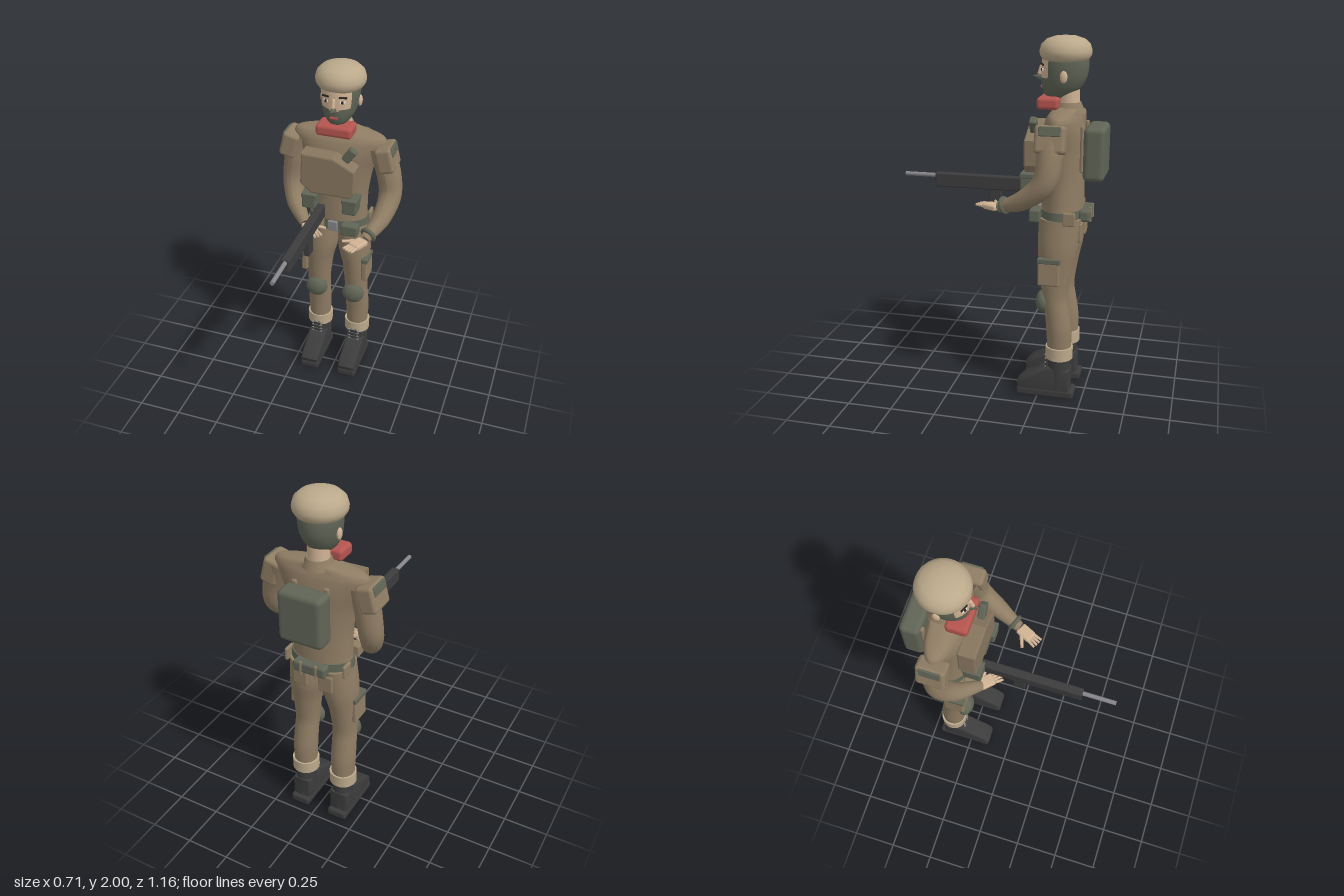
import * as THREE from 'three';
import { toCreasedNormals } from 'three/addons/utils/BufferGeometryUtils.js';
import { RoundedBoxGeometry } from 'three/addons/geometries/RoundedBoxGeometry.js';

const mat = (name, color) => Object.assign(new THREE.MeshStandardMaterial({ color }), { name });
const M = {
  cloth: mat('uniform brown', 0x8f7d64), tan: mat('beret tan', 0xbba98b),
  skin: mat('skin', 0xd0b394), green: mat('field green', 0x606556),
  black: mat('boot black', 0x3c3c3d), steel: mat('steel', 0x85858a),
  red: mat('scarf red', 0xb5554f), dark: mat('hair dark', 0x2b2724),
  pad: mat('plate brown', 0x87765f), white: mat('eye white', 0xe8e2d8),
};
const CX = -0.015; // body centre line

// Stacked elliptical rings [y, rx, rz, cx, cz] from bottom to top, splined and capped
function loft(sections, seg = 32, rows = 24, pick = null) {
  const a = new THREE.CatmullRomCurve3(sections.map(s => new THREE.Vector3(s[0], s[1], s[2])), false, 'catmullrom', 0.4);
  const b = new THREE.CatmullRomCurve3(sections.map(s => new THREE.Vector3(s[3], s[4], 0)), false, 'catmullrom', 0.4);
  const pos = [], idx = [[], []];
  for (let i = 0; i <= rows; i++) {
    const r = a.getPoint(i / rows), c = b.getPoint(i / rows);
    for (let j = 0; j < seg; j++) {
      const t = j / seg * Math.PI * 2;
      pos.push(c.x + r.y * Math.sin(t), r.x, c.y + r.z * Math.cos(t));
    }
  }
  for (let i = 0; i < rows; i++) for (let j = 0; j < seg; j++) {
    const k = (j + 1) % seg, p = i * seg + j, q = i * seg + k;
    const t = ((j + 0.5) / seg + 0.5) % 1 * 2 * Math.PI - Math.PI;
    const y = (pos[p * 3 + 1] + pos[(p + seg) * 3 + 1]) / 2;
    idx[pick && pick(y, t) ? 1 : 0].push(p, q, q + seg, p, q + seg, p + seg);
  }
  for (const [row, up] of [[0, false], [rows, true]]) {
    const s = sections[up ? sections.length - 1 : 0], c = pos.length / 3;
    pos.push(s[3], s[0], s[4]);
    for (let j = 0; j < seg; j++) {
      const p = row * seg + j, q = row * seg + (j + 1) % seg;
      idx[0].push(c, up ? p : q, up ? q : p);
    }
  }
  const g = new THREE.BufferGeometry();
  g.setAttribute('position', new THREE.Float32BufferAttribute(pos, 3));
  g.setIndex(idx.flat());
  if (pick) {
    g.addGroup(0, idx[0].length, 0);
    g.addGroup(idx[0].length, idx[1].length, 1);
  }
  return toCreasedNormals(g, 0.9);
}

// Tube along points [x, y, z, radius] with changing thickness
function limb(pts) {
  const n = 28, k = 20;
  const curve = new THREE.CatmullRomCurve3(pts.map(p => new THREE.Vector3(p[0], p[1], p[2])));
  const g = new THREE.TubeGeometry(curve, n, 1, k), P = g.attributes.position, v = new THREE.Vector3();
  for (let i = 0; i <= n; i++) {
    const c = curve.getPointAt(i / n), f = i / n * (pts.length - 1), s = Math.min(Math.floor(f), pts.length - 2);
    const r = THREE.MathUtils.lerp(pts[s][3], pts[s + 1][3], f - s);
    for (let j = 0; j <= k; j++) {
      const o = i * (k + 1) + j;
      v.fromBufferAttribute(P, o).sub(c).multiplyScalar(r).add(c);
      P.setXYZ(o, v.x, v.y, v.z);
    }
  }
  g.computeVertexNormals();
  return g;
}

export function createModel() {
  const root = new THREE.Group();
  root.name = 'soldier';
  const add = (name, geo, m, p = [0, 0, 0], r = [0, 0, 0], parent = root) => {
    const o = new THREE.Mesh(geo, m);
    o.name = name; o.position.set(...p); o.rotation.set(...r);
    parent.add(o);
    return o;
  };
  const box = (name, m, w, h, d, p, r, parent, rad = 0.01) =>
    add(name, new RoundedBoxGeometry(w, h, d, 2, Math.min(rad, w / 2.1, h / 2.1, d / 2.1)), m, p, r, parent);
  const ball = (name, m, s, p, r) => {
    const o = add(name, new THREE.SphereGeometry(1, 28, 18), m, p, r);
    o.scale.set(...s);
    return o;
  };
  const rod = (name, m, r0, r1, len, p, parent, rot = [Math.PI / 2, 0, 0]) =>
    add(name, new THREE.CylinderGeometry(r0, r1, len, 16), m, p, rot, parent);

  // Jacket and neck
  add('jacket', loft([
    [1.02, .178, .115, CX, -.35], [1.1, .168, .115, CX, -.348], [1.25, .17, .112, CX, -.347], [1.4, .195, .112, CX, -.345],
    [1.5, .235, .108, CX, -.345], [1.57, .265, .092, CX, -.348], [1.605, .235, .075, CX, -.352], [1.63, .09, .06, CX, -.365],
  ], 48, 36), M.cloth);
  rod('neck', M.skin, .055, .06, .18, [CX, 1.65, -.37], root, [0, 0, 0]);
  rod('collar', M.cloth, .064, .085, .05, [CX, 1.63, -.37], root, [0, 0, 0]);
  box('scarf', M.red, .205, .065, .12, [CX, 1.653, -.27], [0, 0, 0], root, .02);

  // Head with an open strip around the eyes
  add('head', loft([
    [1.675, .04, .05, CX, -.305], [1.7, .066, .085, CX, -.318], [1.74, .088, .108, CX, -.33],
    [1.79, .102, .121, CX, -.341], [1.85, .108, .125, CX, -.345], [1.91, .104, .12, CX, -.345],
  ], 48, 30, (y, t) => y > 1.775 + Math.abs(t) * .012 && y < 1.885 && Math.abs(t) < .98), [M.green, M.skin]);
  const nose = add('nose', new THREE.ConeGeometry(.024, .06, 12), M.green, [CX, 1.782, -.2], [1.4, 0, 0]);
  nose.scale.x = .8;
  box('noseBridge', M.skin, .02, .055, .03, [CX, 1.817, -.217], [-.3, 0, 0]);
  box('lips', M.red, .045, .014, .012, [CX, 1.732, -.223], [0, 0, 0], root, .005);
  for (const s of [-1, 1]) {
    box('eye', M.white, .032, .014, .008, [CX + s * .046, 1.825, -.232], [0, s * .4, 0], root, .003);
    box('pupil', M.dark, .013, .014, .008, [CX + s * .046, 1.825, -.229], [0, s * .4, 0], root, .003);
    box('eyebrow', M.dark, .045, .01, .009, [CX + s * .048, 1.852, -.231], [0, s * .4, s * -.08], root, .003);
    ball('ear', M.skin, [.012, .032, .02], [CX + s * .107, 1.795, -.355]);
  }
  // Beret turned from a profile
  const brim = [[0, 1.87], [.1, 1.868], [.122, 1.877], [.136, 1.9], [.138, 1.922], [.128, 1.955], [.1, 1.981], [.055, 1.996], [0, 2]];
  add('beret', toCreasedNormals(new THREE.LatheGeometry(brim.map(p => new THREE.Vector2(...p)), 40), 0.9), M.tan, [CX, 0, -.346]);

  // Chest plate, radio and pouches
  const plate = new THREE.Shape([[-.17, 1.52], [0, 1.515], [.117, 1.455], [.117, 1.33], [.1, 1.3], [-.12, 1.3], [-.178, 1.35]]
    .map(p => new THREE.Vector2(...p)));
  add('chestPlate', new THREE.ExtrudeGeometry(plate, { depth: .08, bevelSize: .01, bevelThickness: .01, bevelSegments: 2 }), M.pad, [0, 0, -.244]);
  box('radio', M.green, .05, .085, .04, [.085, 1.54, -.2], [0, 0, -.62]);
  for (const s of [-1, 1]) {
    box('chestPouch', M.green, .082, .085, .1, [CX + s * .117, 1.238, -.19]);
    box('pouchFlap', M.green, .088, .025, .104, [CX + s * .117, 1.275, -.19], [0, 0, 0], root, .005);
  }

  // Backpack
  box('backpack', M.green, .25, .29, .115, [CX, 1.395, -.523], [0, 0, 0], root, .03);
  for (const s of [-1, 1]) box('packStrap', M.cloth, .03, .25, .02, [CX + s * .09, 1.42, -.458]);

  // Belt with pouches
  add('belt', loft([[1.022, .182, .121, CX, -.35], [1.085, .176, .12, CX, -.35]], 40, 2), M.green);
  for (const s of [-1, 1]) {
    box('beltSide', M.cloth, .02, .075, .07, [CX + s * .172, 1.055, -.41]);
    box('beltPouch', s > 0 ? M.green : M.cloth, .1, .07, .06, [CX + s * .105, 1.055, -.218]);
    box('rearPocket', M.cloth, .085, .105, .02, [CX + s * .075, .965, -.46]);
    box('beltLoop', M.cloth, .012, .08, .014, [CX + s * .045, 1.055, -.506], [0, 0, 0], root, .003);
  }
  box('buckle', M.steel, .058, .062, .02, [CX, 1.055, -.222], [0, 0, 0], root, .005);
  box('rearPouch', M.green, .19, .065, .06, [CX, 1.055, -.477], [0, 0, 0], root, .015);

  // Legs and boots
  const foot = new THREE.Shape([[-.42, .04], [-.15, .04], [-.142, .07], [-.175, .105], [-.24, .13], [-.3, .17], [-.42, .16]]
    .map(p => new THREE.Vector2(...p)));
  for (const s of [-1, 1]) {
    const x = CX + s * .122;
    add('trouserLeg', loft([
      [.25, .062, .066, .122, -.365], [.4, .07, .07, .122, -.361], [.5, .069, .068, .121, -.348], [.6, .069, .07, .118, -.333],
      [.75, .079, .09, .113, -.335], [.88, .096, .11, .1, -.342], [1.04, .09, .115, .091, -.35],
    ].map(q => [q[0], q[1], q[2], CX + s * q[3], q[4]]), 32, 30), M.cloth);
    ball('kneePad', M.green, [.067, .066, .045], [CX + s * .116, .562, -.272]);
    box('thighPocket', M.cloth, .036, .15, .12, [CX + s * .186, .755, -.31], [0, 0, s * .03]);
    box('pocketFlap', M.green, .04, .028, .126, [CX + s * .186, .82, -.31], [0, 0, 0], root, .005);
    add('trouserCuff', loft([[.235, .077, .076, x, -.365], [.305, .077, .076, x, -.365]], 32, 2), M.tan);
    add('bootShaft', loft([[.05, .056, .065, x, -.37], [.16, .057, .064, x, -.365], [.26, .058, .062, x, -.362]], 28, 8), M.black);
    const upper = new THREE.ExtrudeGeometry(foot, { depth: .07, bevelSize: .012, bevelThickness: .02, bevelSegments: 4 });
    upper.rotateY(-Math.PI / 2);
    add('bootFoot', toCreasedNormals(upper, 0.8), M.black, [x + .035, 0, 0]);
    box('sole', M.black, .116, .05, .325, [x, .025, -.293], [0, 0, 0], root, .015);
    for (let i = 0; i < 5; i++)
      rod('bootLace', M.steel, .004, .004, .066, [x, .155 + i * .024, -.292 + (i < 1 ? .008 : 0)], root, [0, 0, Math.PI / 2]);
    box('bootTongue', M.black, .05, .12, .025, [x, .2, -.301]);
    // Shoulder guards
    const guard = new THREE.Group();
    guard.name = 'shoulderGuard';
    guard.position.set(CX + s * .278, 1.5, s > 0 ? -.325 : -.34);
    guard.rotation.z = s * .25;
    root.add(guard);
    box('guardPad', M.cloth, .095, .145, .16, [0, 0, 0], [0, 0, 0], guard, .02);
    box('guardPatch', M.green, .02, .05, .115, [s * .043, .04, 0], [0, 0, 0], guard, .005);
  }

  // Arms
  add('leftArm', limb([[.215, 1.55, -.34, .07], [.27, 1.42, -.325, .069], [.295, 1.28, -.3, .064], [.275, 1.18, -.19, .052], [.225, 1.12, -.05, .03]]), M.cloth);
  add('rightArm', limb([[-.245, 1.55, -.35, .07], [-.27, 1.42, -.345, .069], [-.285, 1.26, -.33, .065], [-.25, 1.15, -.26, .052], [-.155, 1.085, -.15, .03]]), M.cloth);
  add('wristBand', new THREE.TorusGeometry(.036, .013, 10, 24), M.green, [.237, 1.135, -.08], [.35, -.35, 0]);

  // Hands: palm, four fingers and a thumb, pointing along local z
  const hand = (name, side, p, yaw, bend) => {
    const g = new THREE.Group();
    g.name = name; g.position.set(...p); g.rotation.set(bend, yaw, 0, 'YXZ');
    root.add(g);
    box('palm', M.skin, .07, .032, .09, [0, 0, .045], [0, 0, 0], g, .012);
    for (let i = 0; i < 4; i++)
      rod('finger', M.skin, .007, .009, .055 - Math.abs(i - 1.6) * .007, [(i - 1.5) * .018, 0, .112], g, [Math.PI / 2, 0, (1.5 - i) * .08]);
    rod('thumb', M.skin, .008, .011, .07, [-side * .055, .003, .065], g, [Math.PI / 2, 0, side * .75]);
  };
  hand('leftHand', 1, [.222, 1.115, -.045], -.46, 0);
  hand('rightHand', -1, [-.155, 1.08, -.16], .8, .08);

  // Rifle
  const gx = -.069;
  box('rifleBody', M.black, .046, .08, .58, [gx, 1.175, .105], [0, 0, 0], root, .008);
  rod('rifleBarrel', M.steel, .012, .012, .2, [gx, 1.197, .478], root);
  box('rifleMagazine', M.black, .036, .12, .065, [gx, 1.088, .047], [0, 0, 0], root, .005);
  return root;
}
